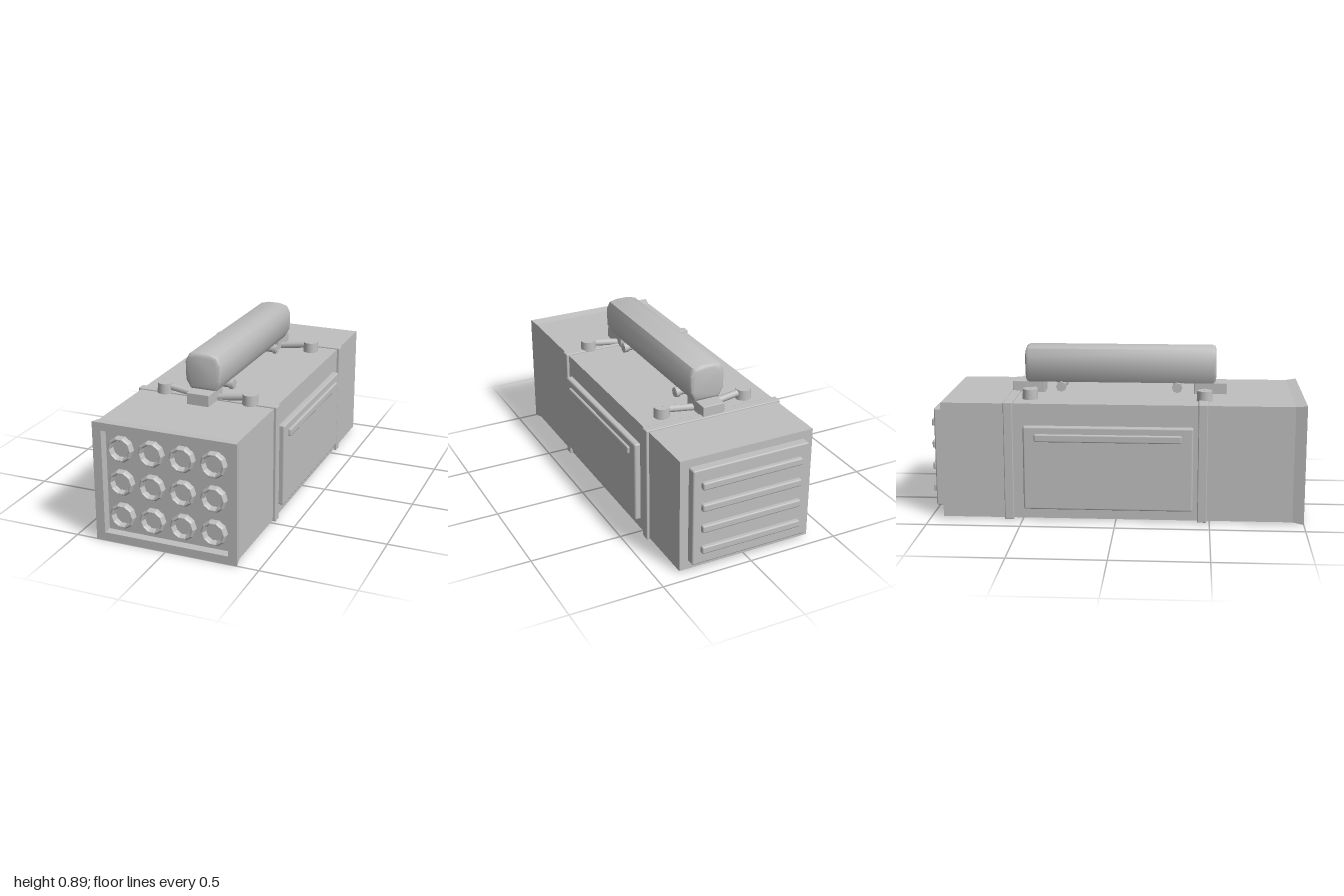
import * as THREE from 'three';
import { toCreasedNormals } from 'three/addons/utils/BufferGeometryUtils.js';
import { RoundedBoxGeometry } from 'three/addons/geometries/RoundedBoxGeometry.js';

export function createModel() {
  const model = new THREE.Group();
  model.name = 'launcherPod';
  const metal = new THREE.MeshStandardMaterial({ color: 0xc0c0c0 });
  metal.name = 'greyMetal';

  const add = (name, geo, x = 0, y = 0, z = 0) => {
    const mesh = new THREE.Mesh(geo, metal);
    mesh.name = name;
    mesh.position.set(x, y, z);
    model.add(mesh);
    return mesh;
  };
  // box given by its limits, with an optional small softened edge
  const box = (name, x0, x1, y0, y1, z0, z1, r = 0) => {
    const s = [x1 - x0, y1 - y0, z1 - z0];
    const geo = r ? new RoundedBoxGeometry(...s, 1, r) : new THREE.BoxGeometry(...s);
    return add(name, geo, (x0 + x1) / 2, (y0 + y1) / 2, (z0 + z1) / 2);
  };
  const rect = (Type, x, y0, y1) => new Type([[-x, y0], [x, y0], [x, y1], [-x, y1]]
    .map(([a, b]) => new THREE.Vector2(a, b)));

  // main casing, its front wall sits back inside the rim
  box('casing', -0.375, 0.375, 0.014, 0.64, -0.93, 0.95);

  // front rim, slightly flared at the mouth
  const rimShape = rect(THREE.Shape, 0.375, 0.014, 0.64);
  rimShape.holes.push(rect(THREE.Path, 0.338, 0.048, 0.605));
  const rim = new THREE.ExtrudeGeometry(rimShape, { depth: 0.06, bevelEnabled: false });
  const p = rim.attributes.position;
  for (let i = 0; i < p.count; i++) {
    if (p.getZ(i) < 0.05 || Math.abs(p.getX(i)) < 0.36) continue;
    p.setX(i, p.getX(i) * 1.03);
    p.setY(i, p.getY(i) > 0.3 ? 0.647 : 0.004);
  }
  rim.computeVertexNormals();
  add('frontRim', rim, 0, 0, 0.94);

  // ten-sided launch tubes with bevelled lips
  const tubeProfile = [[0.068, 0], [0.068, 0.025], [0.061, 0.036], [0.055, 0.036], [0.05, 0.028],
    [0.047, 0.004], [0, 0.004]].map(([r, h]) => new THREE.Vector2(r, h));
  const tube = toCreasedNormals(new THREE.LatheGeometry(tubeProfile, 10), 0.2);
  tube.rotateY(Math.PI / 2).rotateX(Math.PI / 2);
  for (const y of [0.142, 0.325, 0.506])
    for (const x of [-0.25, -0.083, 0.083, 0.25]) add('launchTube', tube, x, y, 0.949);

  // straps around the casing
  for (const z of [0.46, -0.57])
    box('strap', -0.39, 0.39, 0.006, 0.648, z - 0.025, z + 0.025, 0.005);

  // side panels with a raised rail
  for (const s of [-1, 1]) {
    const span = (a, b) => (s > 0 ? [a, b] : [-b, -a]);
    box('sidePanel', ...span(0.34, 0.407), 0.07, 0.523, -0.49, 0.41, 0.01);
    box('sideRail', ...span(0.39, 0.42), 0.442, 0.484, -0.43, 0.35, 0.008);
  }

  // rear plate with ribs
  box('rearPlate', -0.327, 0.327, 0.06, 0.597, -0.977, -0.91, 0.008);
  for (const y of [0.145, 0.267, 0.388, 0.51])
    box('rearRib', -0.282, 0.282, y - 0.02, y + 0.02, -1, -0.96, 0.008);

  // carrying handle: faceted section with bevelled ends
  const section = new THREE.Shape([[-0.058, 0.72], [0.058, 0.72], [0.078, 0.755], [0.08, 0.84],
    [0.065, 0.869], [0.03, 0.878], [-0.03, 0.878], [-0.065, 0.869], [-0.08, 0.84], [-0.078, 0.755]]
    .map(([x, y]) => new THREE.Vector2(x, y)));
  const grip = new THREE.ExtrudeGeometry(section, {
    depth: 1.005, bevelEnabled: true, bevelSize: 0.02, bevelThickness: 0.02, bevelSegments: 2,
  });
  add('handle', toCreasedNormals(grip, 0.8), 0, 0, -0.495);

  // handle mounts, posts, struts and cross bolts
  for (const s of [-1, 1]) {
    box('handleMount', -0.062, 0.062, 0.63, 0.702, s > 0 ? 0.41 : -0.585, s > 0 ? 0.59 : -0.41, 0.004);
    const zp = s * 0.467;
    for (const t of [-1, 1]) {
      add('post', new THREE.CylinderGeometry(0.04, 0.043, 0.065, 16), t * 0.24, 0.6625, zp);
      const strut = add('strut', new THREE.CylinderGeometry(0.019, 0.019, 0.2, 8), t * 0.14, 0.664, zp);
      strut.rotation.z = Math.PI / 2 + t * 0.15;
      const head = add('boltHead', new THREE.CylinderGeometry(0.028, 0.028, 0.022, 8), t * 0.078, 0.676, s * 0.318);
      head.rotation.z = Math.PI / 2;
    }
    const bolt = add('crossBolt', new THREE.CylinderGeometry(0.02, 0.02, 0.18, 10), 0, 0.676, s * 0.318);
    bolt.rotation.z = Math.PI / 2;
  }
  return model;
}
